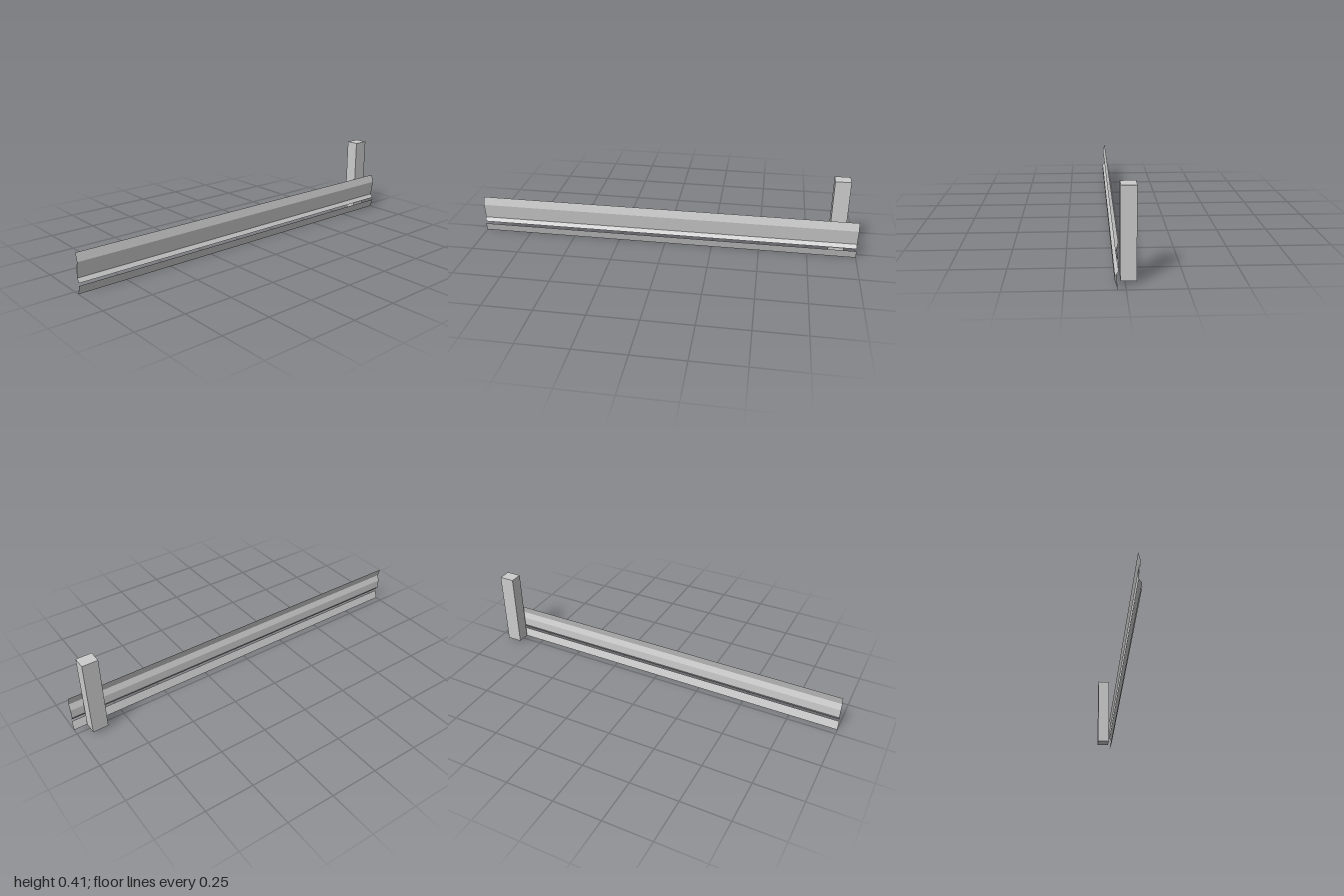
import * as THREE from 'three';

const LENGTH = 2;

function makeMaterial() {
  return new THREE.MeshStandardMaterial({ color: 0xcccccc, flatShading: true, side: THREE.DoubleSide });
}

// Thin sheet running the whole length between two [z, y] profile points
function sheet(name, [z0, y0], [z1, y1], material) {
  const h = LENGTH / 2;
  const geometry = new THREE.BufferGeometry();
  geometry.setAttribute('position', new THREE.Float32BufferAttribute([
    -h, y0, z0, -h, y1, z1, h, y1, z1, h, y0, z0,
  ], 3));
  geometry.setIndex([0, 1, 2, 0, 2, 3]);
  geometry.computeVertexNormals();
  const mesh = new THREE.Mesh(geometry, material);
  mesh.name = name;
  return mesh;
}

export function createModel() {
  const model = new THREE.Group();
  model.name = 'guardRail';
  const material = makeMaterial();

  // Folded beam profile, as [z, y]
  const top = [0.032, 0.2];
  const crest = [0.043, 0.157];
  const innerFold = [0.032, 0.125];
  const valley = [0.032, 0.078];
  const lowerLip = [0.046, 0.058];
  const bottomTop = [0.047, 0.045];
  const bottomEdge = [0.033, 0];

  const rail = new THREE.Group();
  rail.name = 'rail';
  rail.add(sheet('upperFlange', top, crest, material));
  rail.add(sheet('lowerLip', valley, lowerLip, material));
  rail.add(sheet('bottomFlange', bottomTop, bottomEdge, material));

  // Solid wedge-shaped web; shape x is -z so that it extrudes along +x
  const shape = new THREE.Shape([crest, innerFold, valley].map(([z, y]) => new THREE.Vector2(-z, y)));
  const webGeometry = new THREE.ExtrudeGeometry(shape, { depth: LENGTH, bevelEnabled: false });
  webGeometry.rotateY(Math.PI / 2).translate(-LENGTH / 2, 0, 0);
  const web = new THREE.Mesh(webGeometry, material);
  web.name = 'web';
  rail.add(web);
  model.add(rail);

  // Square post behind the left end
  const post = new THREE.Mesh(new THREE.BoxGeometry(0.08, 0.403, 0.067), material);
  post.name = 'post';
  post.position.set(0.896, 0.2135, -0.0135);
  model.add(post);

  return model;
}
